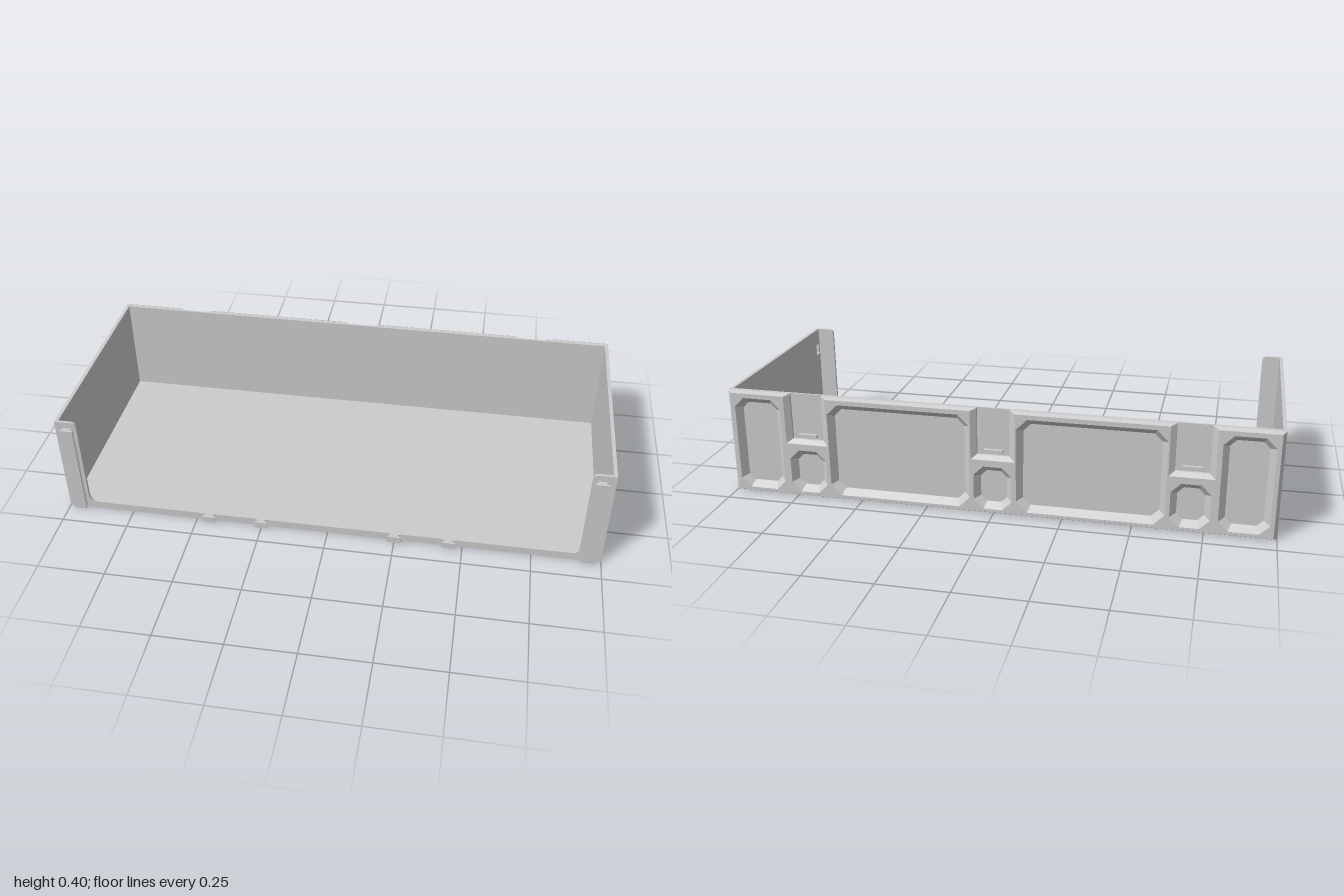
import * as THREE from 'three';

const mat = new THREE.MeshStandardMaterial({ color: 0xcccccc, flatShading: true, side: THREE.DoubleSide });

const V = (x, y) => new THREE.Vector2(x, y);
const outline = (...pairs) => {
  const p = pairs.map(([x, y]) => V(x, y));
  return THREE.ShapeUtils.area(p) < 0 ? p.reverse() : p; // always counter-clockwise
};
const rect = (x0, x1, y0, y1) => outline([x0, y0], [x1, y0], [x1, y1], [x0, y1]);
const chamferRect = (x0, x1, y0, y1, c) => outline(
  [x0 + c, y0], [x1 - c, y0], [x1, y0 + c], [x1, y1 - c],
  [x1 - c, y1], [x0 + c, y1], [x0, y1 - c], [x0, y0 + c]);

// shrink a counter-clockwise outline by d with mitred corners
function inset(pts, d) {
  return pts.map((p, i) => {
    const a = pts[(i + pts.length - 1) % pts.length], b = pts[(i + 1) % pts.length];
    const e = p.clone().sub(a).normalize(), f = b.clone().sub(p).normalize();
    const n = V(-e.y - f.y, e.x + f.x);
    return p.clone().addScaledVector(n, d / (1 + e.dot(f)));
  });
}

function shapeWithHoles(pts, holes = []) {
  const s = new THREE.Shape(pts);
  s.holes = holes.map(h => new THREE.Path(h));
  return s;
}

function add(parent, name, geometry, x = 0, y = 0, z = 0) {
  const m = new THREE.Mesh(geometry, mat);
  m.name = name;
  m.position.set(x, y, z);
  parent.add(m);
  return m;
}

const box = (parent, name, w, h, d, x, y, z) => add(parent, name, new THREE.BoxGeometry(w, h, d), x, y, z);
const extrude = (shape, depth) => new THREE.ExtrudeGeometry(shape, { depth, bevelEnabled: false, curveSegments: 6 });

// wall strip joining outline a at height za to outline b at height zb
function loft(a, za, b, zb) {
  const pos = [];
  a.forEach((p, i) => {
    const j = (i + 1) % a.length, q = a[j], r = b[j], s = b[i];
    pos.push(p.x, p.y, za, q.x, q.y, za, r.x, r.y, zb, p.x, p.y, za, r.x, r.y, zb, s.x, s.y, zb);
  });
  const g = new THREE.BufferGeometry();
  g.setAttribute('position', new THREE.Float32BufferAttribute(pos, 3));
  g.computeVertexNormals();
  return g;
}

// side wall with a window and a shallow sunken panel; s = +1 or -1
function sideWall(s) {
  const g = new THREE.Group();
  g.name = s > 0 ? 'leftWall' : 'rightWall';
  const at = pairs => outline(...pairs.map(([z, y]) => [-s * z, y]));
  const wall = at([[-0.41, 0], [0.406, 0], [0.406, 0.4], [-0.41, 0.4]]);
  const window = at([[0.374, 0.29], [0.392, 0.29], [0.396, 0.295], [0.396, 0.331],
    [0.392, 0.336], [0.374, 0.336], [0.37, 0.331], [0.37, 0.295]]);
  const panel = at([[0.345, 0.29], [0.28, 0.352], [-0.403, 0.352], [-0.403, 0.1],
    [-0.34, 0.033], [0.138, 0.033], [0.345, 0.243]]);
  add(g, 'wallPlate', extrude(shapeWithHoles(wall, [window]), 0.008), 0, 0, 0.987);
  add(g, 'wallSkin', extrude(shapeWithHoles(wall, [window, panel]), 0.005), 0, 0, 0.995);
  add(g, 'panelBevel', loft(panel, 1, inset(panel, 0.007), 0.995));
  g.rotation.y = s * Math.PI / 2;
  return g;
}

// pocketed back wall, drawn facing +z and then turned round
function backWall() {
  const g = new THREE.Group();
  g.name = 'backWall';
  const floorZ = 0.411, edgeZ = 0.42, faceZ = 0.435;
  const slotXs = [-0.7, 0, 0.7];

  // rim outline with slots open at the top edge
  const rim = (w, y0, y1, slotHalf, slotY) => {
    const p = [[-w, y0], [w, y0], [w, y1]];
    for (const x of [...slotXs].reverse())
      p.push([x + slotHalf, y1], [x + slotHalf, slotY], [x - slotHalf, slotY], [x - slotHalf, y1]);
    return outline(...p, [-w, y1]);
  };
  const outer = rim(1, 0, 0.4, 0.06, 0.225);
  const face = rim(0.988, 0.008, 0.392, 0.08, 0.21);

  const pockets = [];
  for (const s of [-1, 1]) {
    pockets.push(chamferRect(s * 0.885 - 0.088, s * 0.885 + 0.088, 0.02, 0.375, 0.035));
    pockets.push(chamferRect(s * 0.35 - 0.265, s * 0.35 + 0.265, 0.02, 0.375, 0.04));
  }
  for (const x of slotXs) pockets.push(chamferRect(x - 0.07, x + 0.07, 0.02, 0.185, 0.035));

  box(g, 'backPlate', 2, 0.4, 0.008, 0, 0.2, floorZ - 0.004);
  add(g, 'rimEdge', loft(outer, floorZ, outer, edgeZ));
  add(g, 'rimBevel', loft(outer, edgeZ, face, faceZ));
  add(g, 'backFace', new THREE.ShapeGeometry(shapeWithHoles(face, pockets)), 0, 0, faceZ);
  for (const p of pockets) add(g, 'pocketWalls', loft(p, faceZ, inset(p, 0.022), floorZ));
  // small catch at the foot of each slot
  for (const x of slotXs) box(g, 'slotCatch', 0.07, 0.012, 0.014, x, 0.24, floorZ + 0.007);
  g.rotation.y = Math.PI;
  return g;
}

// flared connector extruded upwards
function connector(parent, name, x, y0, y1) {
  const half = [[0.02, 0.41], [0.02, 0.417], [0.013, 0.419], [0.013, 0.423], [0.024, 0.43], [0.024, 0.435]];
  const pts = outline(...half.map(([u, z]) => [u, -z]), ...half.map(([u, z]) => [-u, -z]).reverse());
  const m = add(parent, name, extrude(new THREE.Shape(pts), y1 - y0), x, y0, 0);
  m.rotation.x = -Math.PI / 2;
}

export function createModel() {
  const model = new THREE.Group();
  model.name = 'stackingTray';

  box(model, 'floor', 1.98, 0.015, 0.814, 0, 0.0075, 0);
  model.add(sideWall(1), sideWall(-1), backWall());

  // open front frame: a low lip and two narrow flanges
  const f = new THREE.Shape();
  f.moveTo(-1, 0).lineTo(1, 0).lineTo(1, 0.4).lineTo(0.94, 0.4);
  f.quadraticCurveTo(0.92, 0.4, 0.92, 0.38).lineTo(0.92, 0.06);
  f.quadraticCurveTo(0.92, 0.03, 0.89, 0.03).lineTo(-0.89, 0.03);
  f.quadraticCurveTo(-0.92, 0.03, -0.92, 0.06).lineTo(-0.92, 0.38);
  f.quadraticCurveTo(-0.92, 0.4, -0.94, 0.4).lineTo(-1, 0.4).lineTo(-1, 0);
  add(model, 'frontFrame', extrude(f, 0.01), 0, 0, 0.405);

  for (const s of [-1, 1]) {
    connector(model, 'frontRail', s * 0.953, 0.008, 0.375);
    for (const x of [0.25, 0.45]) connector(model, 'frontTab', s * x, 0.006, 0.03);
  }
  return model;
}
